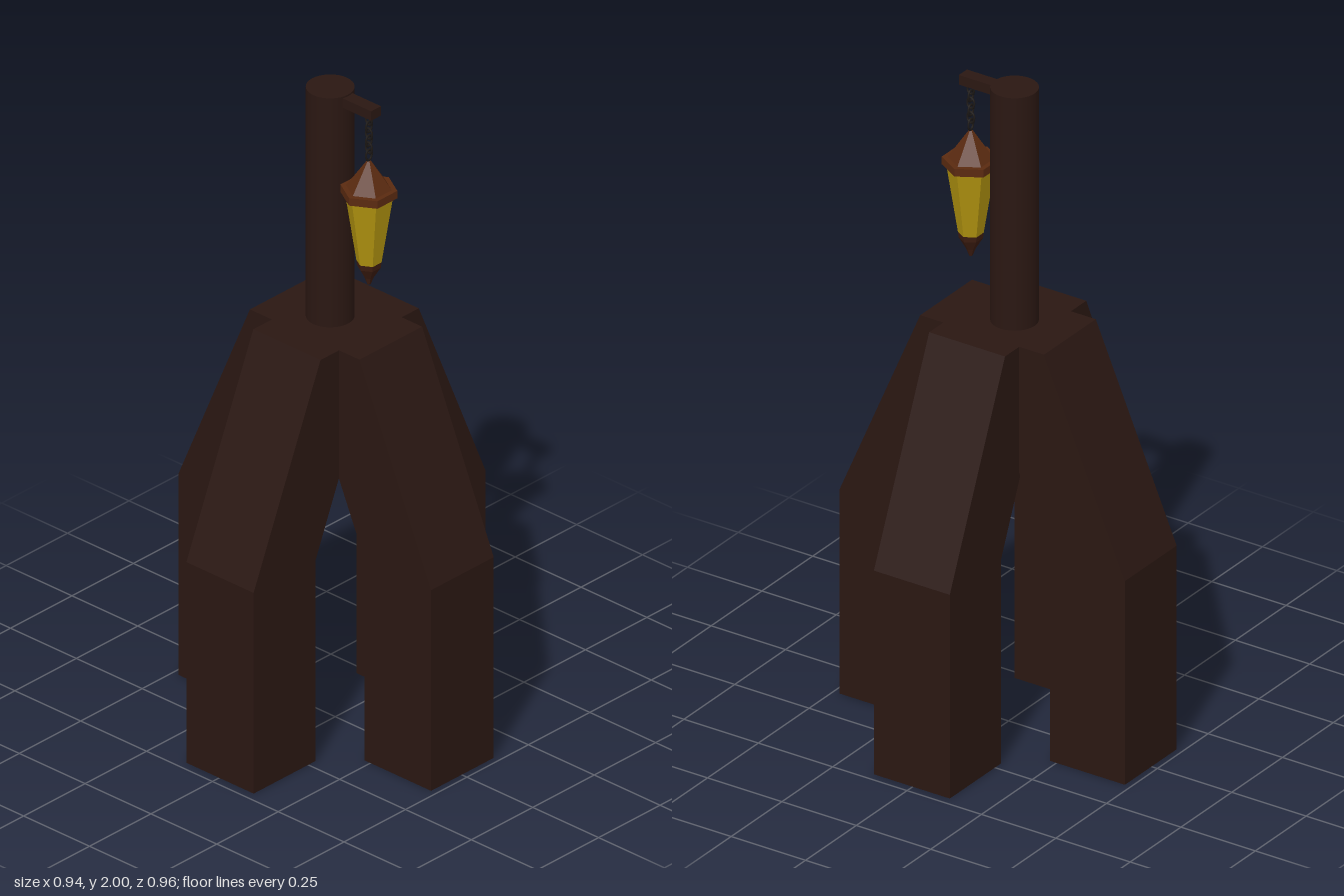
import * as THREE from 'three';

const mat = (color, flatShading = true) => new THREE.MeshStandardMaterial({ color, flatShading });

export function createModel() {
  const root = new THREE.Group();
  const wood = mat(0x2a1712), woodSmooth = mat(0x2a1712, false);
  const copper = mat(0x5a2a10), darkCopper = mat(0x3c1c10);
  const glass = mat(0xb0920f), iron = mat(0x1c1816, false);

  const add = (parent, name, geometry, material, x = 0, y = 0, z = 0) => {
    const mesh = new THREE.Mesh(geometry, material);
    mesh.name = name;
    mesh.position.set(x, y, z);
    parent.add(mesh);
    return mesh;
  };

  // Four bent legs meeting in the middle
  const legWidth = 0.255;
  const legGeometry = (outer, inner, top) => {
    const shape = new THREE.Shape([
      [inner, 0], [outer, 0], [outer, 0.64], [top, 1.27], [0, 1.27], [0, 1.155], [inner, 0.64],
    ].map(([x, y]) => new THREE.Vector2(x, y)));
    return new THREE.ExtrudeGeometry(shape, { depth: legWidth, bevelEnabled: false })
      .translate(0, 0, -legWidth / 2);
  };
  const sideLeg = legGeometry(0.472, 0.22, 0.2);
  const frontLeg = legGeometry(0.48, 0.228, 0.208);
  ['leftLeg', 'backLeg', 'rightLeg', 'frontLeg'].forEach((name, i) => {
    const across = i % 2;
    const leg = add(root, name, across ? frontLeg : sideLeg, wood,
      across ? 0.003 : 0, 0, across ? 0 : 0.003);
    leg.rotation.y = i * Math.PI / 2;
  });

  // Post and the bracket arm
  add(root, 'post', new THREE.CylinderGeometry(0.068, 0.068, 0.75, 32), woodSmooth, 0.003, 1.625, -0.022);
  add(root, 'bracketArm', new THREE.BoxGeometry(0.04, 0.03, 0.13), wood, 0.004, 1.98, 0.086);

  // Hanging lantern
  const lantern = new THREE.Group();
  lantern.name = 'lantern';
  lantern.position.set(0.003, 0, 0.125);
  root.add(lantern);

  // Chain of alternating oval links
  const link = new THREE.TorusGeometry(0.012, 0.003, 6, 14).scale(1, 1.4, 1);
  for (let i = 0; i < 6; i++) {
    const ring = add(lantern, 'chainLink', link, iron, 0, 1.951 - i * 0.0225, 0);
    ring.rotation.y = i % 2 ? 0 : Math.PI / 2;
  }

  // Six-sided pieces, corners pointing left and right: name, top r, bottom r, bottom y, top y
  const hexParts = [
    ['roof', 0.006, 0.066, 1.733, 1.82, copper],
    ['roofRim', 0.081, 0.081, 1.71, 1.734, copper],
    ['glass', 0.069, 0.036, 1.5, 1.712, glass],
    ['baseRim', 0.036, 0.034, 1.483, 1.5, darkCopper],
    ['baseCup', 0.034, 0.014, 1.45, 1.483, darkCopper],
    ['finial', 0.014, 0.005, 1.427, 1.45, darkCopper],
  ];
  for (const [name, rTop, rBottom, y0, y1, material] of hexParts) {
    const part = add(lantern, name, new THREE.CylinderGeometry(rTop, rBottom, y1 - y0, 6),
      material, 0, (y0 + y1) / 2, 0);
    part.rotation.y = Math.PI / 6;
  }

  return root;
}
